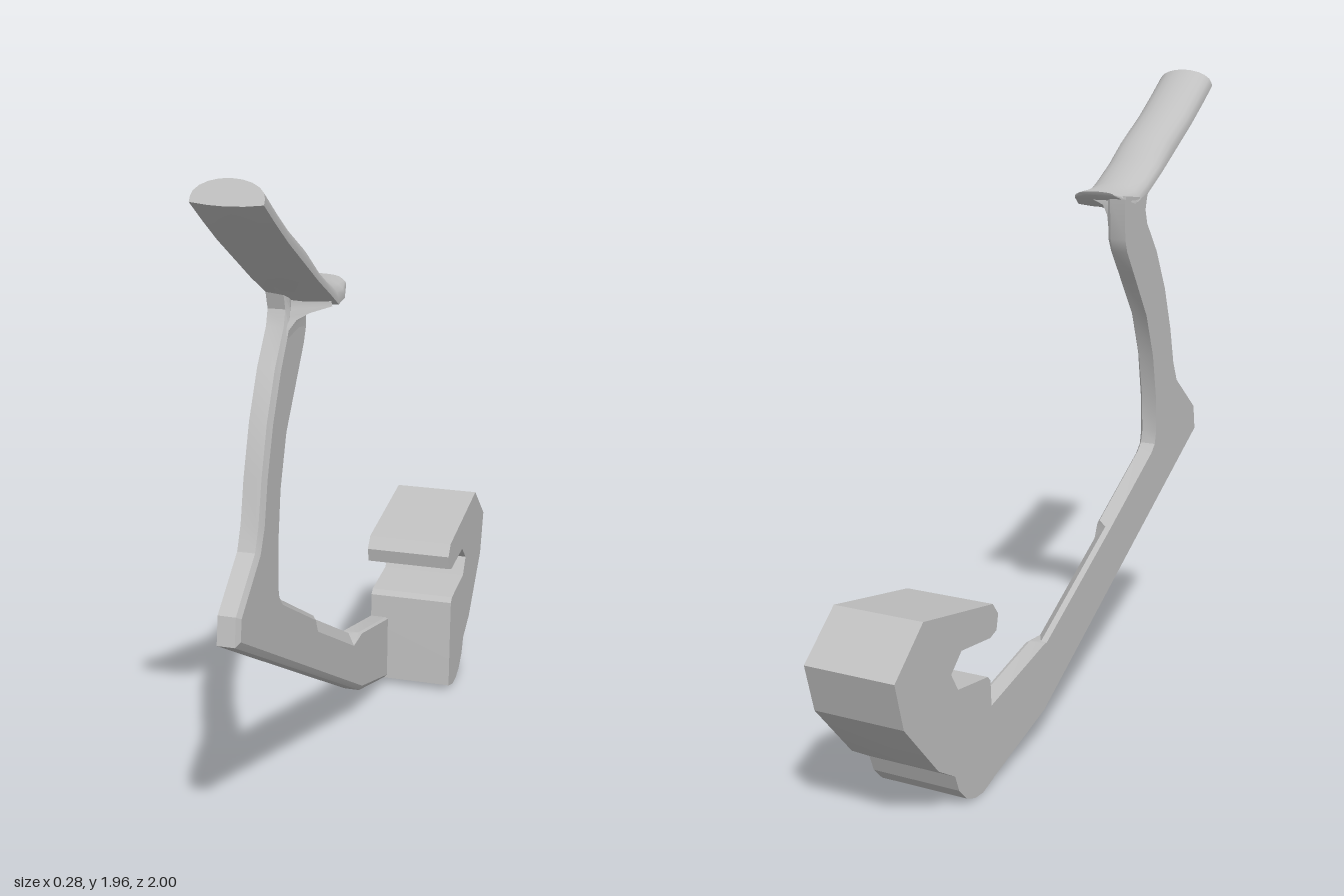
import * as THREE from 'three';
import { toCreasedNormals } from 'three/addons/utils/BufferGeometryUtils.js';

const V = (x, y, z) => new THREE.Vector3(x, y, z);

// Closed solid through matching rings; project() flattens a ring for its end caps.
function loft(rings, project, crease = 0.5) {
  const n = rings[0].length;
  const index = [];
  for (let r = 0; r < rings.length - 1; r++) {
    for (let i = 0; i < n; i++) {
      const a = r * n + i, b = r * n + (i + 1) % n;
      index.push(a, a + n, b, b, a + n, b + n);
    }
  }
  const last = (rings.length - 1) * n;
  for (const [a, b, c] of THREE.ShapeUtils.triangulateShape(rings[0].map(project), [])) index.push(a, b, c);
  for (const [a, b, c] of THREE.ShapeUtils.triangulateShape(rings.at(-1).map(project), [])) {
    index.push(last + a, last + c, last + b);
  }
  const geometry = new THREE.BufferGeometry().setFromPoints(rings.flat());
  geometry.setIndex(index);
  return toCreasedNormals(geometry, crease);
}

const sideOn = (p) => new THREE.Vector2(p.z, p.y);

// Arm outline: [z, y, z on the bevelled face, y on it, x where the bevel starts]
const ARM = [
  [-0.52, 0.015, -0.52, 0.025], [-0.195, 0.113, -0.2, 0.128], [0.908, 0.745, 0.89, 0.755],
  [0.895, 0.825, 0.88, 0.815], [0.745, 0.945, 0.73, 0.935], [0.715, 1.01, 0.695, 1.0],
  [0.685, 1.13, 0.665, 1.125], [0.635, 1.27, 0.615, 1.26], [0.565, 1.4, 0.545, 1.39],
  [0.49, 1.495, 0.475, 1.485], [0.475, 1.54, 0.465, 1.54], [0.49, 1.592, 0.47, 1.585],
  [0.4, 1.565, 0.4, 1.56], [0.322, 1.585, 0.327, 1.58],
  [0.33, 1.46, 0.335, 1.46], [0.345, 1.42, 0.355, 1.42],
  [0.4, 1.34, 0.41, 1.345], [0.495, 1.2, 0.51, 1.21], [0.55, 1.06, 0.565, 1.065],
  [0.578, 0.92, 0.59, 0.92], [0.585, 0.8, 0.597, 0.795], [0.575, 0.76, 0.588, 0.752],
  [0.55, 0.735, 0.56, 0.725], [0.27, 0.572, 0.275, 0.56],
  // shallow notch along the lower arm
  [0.25, 0.56, 0.255, 0.515, -0.12], [-0.18, 0.32, -0.11, 0.31, -0.12],
  [-0.195, 0.32, -0.2, 0.315], [-0.52, 0.24, -0.52, 0.235],
];

// Hook outline: [z, y]
const HOOK = [
  [-0.5, 0.02], [-0.51, 0.24], [-0.515, 0.32], [-0.53, 0.335], [-0.69, 0.355], [-0.725, 0.41],
  [-0.67, 0.46], [-0.515, 0.445], [-0.48, 0.457], [-0.47, 0.503], [-0.5, 0.54], [-0.86, 0.603],
  [-1, 0.48], [-0.96, 0.34], [-0.795, 0.16], [-0.71, 0.11], [-0.69, 0.06], [-0.65, 0.02],
  [-0.605, 0.002], [-0.56, 0],
];

// Foot pad stations: [top z, top y, bottom z, bottom y, half width]
const PAD = [
  [0.305, 1.607, 0.31, 1.595, 0.06], [0.325, 1.608, 0.33, 1.58, 0.082],
  [0.38, 1.614, 0.375, 1.552, 0.0925], [0.43, 1.624, 0.43, 1.545, 0.0925],
  [0.49, 1.645, 0.5, 1.588, 0.0925], [0.565, 1.69, 0.6, 1.643, 0.0925],
  [0.645, 1.757, 0.7, 1.702, 0.0925], [0.79, 1.838, 0.83, 1.782, 0.0925],
  [0.88, 1.9, 0.92, 1.843, 0.0925], [0.96, 1.96, 1, 1.9, 0.0925],
];

function padRing([zt, yt, zb, yb, w]) {
  const cx = -0.0475, steps = 10, ring = [];
  const point = (u, k) => V(cx + u * w, THREE.MathUtils.lerp(yb, yt, k), THREE.MathUtils.lerp(zb, zt, k));
  for (let i = 0; i <= steps; i++) {
    const a = Math.PI * (1 - i / steps);
    ring.push(point(Math.cos(a), 0.3 + 0.7 * Math.sin(a)));
  }
  for (const u of [1, 0.5, 0, -0.5, -1]) ring.push(point(u, 0.1 * u * u));
  return ring;
}

// Flared neck rings: [front right x, front z, front y, rear right x, rear z, rear y]
const NECK = [
  [-0.082, 0.5, 1.44, -0.081, 0.345, 1.44], [-0.078, 0.485, 1.485, -0.079, 0.338, 1.49],
  [-0.06, 0.47, 1.512, -0.075, 0.333, 1.535], [-0.025, 0.465, 1.532, -0.062, 0.33, 1.565],
  [0.035, 0.455, 1.552, -0.02, 0.333, 1.582], [0.03, 0.455, 1.58, -0.015, 0.335, 1.594],
];

export function createModel() {
  const group = new THREE.Group();
  const grey = new THREE.MeshStandardMaterial({ color: 0xc0c0c0 });
  grey.name = 'plain grey';
  const add = (name, geometry) => {
    const mesh = new THREE.Mesh(geometry, grey);
    mesh.name = name;
    group.add(mesh);
  };

  // Bent flat arm with one bevelled side
  add('arm', loft([
    ARM.map(([z, y]) => V(-0.14, y, z)),
    ARM.map(([z, y, , , x = -0.09]) => V(x, y, z)),
    ARM.map(([, , z, y]) => V(-0.08, y, z)),
  ], sideOn, 0.35));

  // Wide clamp hook at the rear
  add('hook', loft([-0.14, 0.14].map((x) => HOOK.map(([z, y]) => V(x, y, z))), sideOn, 0.3));

  // Domed foot pad
  add('footPad', loft(PAD.map(padRing), (p) => new THREE.Vector2(-p.x, p.y), 0.6));

  // Neck flaring from the arm to the pad
  add('neck', loft(NECK.map(([xf, zf, yf, xr, zr, yr]) => [
    V(-0.138, yr, zr), V(xr, yr, zr), V(xf, yf, zf), V(-0.138, yf, zf),
  ]), (p) => new THREE.Vector2(p.x, p.z), 0.6));

  return group;
}
